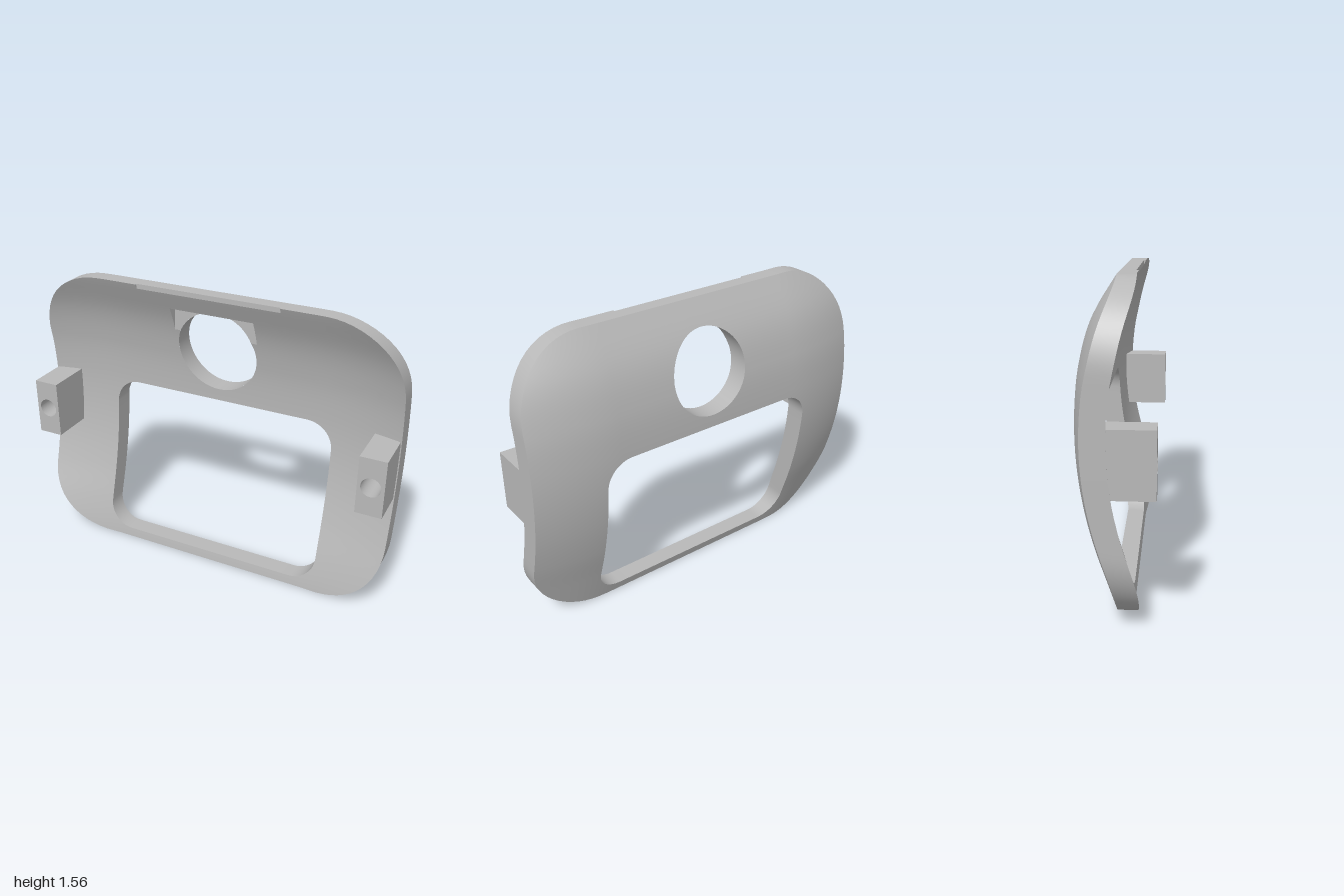
import * as THREE from 'three';
import { toCreasedNormals } from 'three/addons/utils/BufferGeometryUtils.js';

const H = 1.56, W = 1, CORNER = 0.38;
const NOTCH = { x: 0.39, y: 1.535 };
const POCKET = { x: 0.23, y0: 1.31, y1: 1.44 };
const HOLE = { y: 1.215, r: 0.22 };

// Bowed centre line of the back surface, evenly spaced in y, one step past each end
const STEP = H / 8;
const bow = new THREE.SplineCurve(
  [0.065, 0, -0.062, -0.122, -0.165, -0.188, -0.19, -0.17, -0.115, 0, 0.14]
    .map((z, i) => new THREE.Vector2((i - 1) * STEP, z)));

// The back curls forward towards both sides
function backZ(x, y) {
  const curl = Math.max(0, (Math.abs(x) - 0.55) / 0.45) ** 2;
  return bow.getPoint((y / STEP + 1) / 10).y + curl * (0.06 + 0.05 * (y - 0.88) ** 2);
}
const frontZ = (x, y) => backZ(x, y) + 0.088 + 0.024 * (1 - (2 * y / H - 1) ** 6);
const notchZ = frontZ(0, NOTCH.y), pocketZ = frontZ(0, POCKET.y0);

// Splits long segments of a path into short ones
function resample(points, closed = true) {
  const out = [];
  const count = closed ? points.length : points.length - 1;
  for (let i = 0; i < count; i++) {
    const a = points[i], b = points[(i + 1) % points.length];
    const n = Math.ceil(a.distanceTo(b) / 0.05);
    for (let k = 0; k < n; k++) out.push(a.clone().lerp(b, k / n));
  }
  if (!closed) out.push(points[points.length - 1].clone());
  return out;
}

const vec = list => list.map(([x, y]) => new THREE.Vector2(x, y));

function arc(cx, cy, r, from, to, n) {
  return Array.from({ length: n + 1 }, (_, i) => {
    const t = from + (to - from) * i / n;
    return new THREE.Vector2(cx + r * Math.cos(t), cy + r * Math.sin(t));
  });
}

// Counter-clockwise rounded rectangle, with optional extra points along the top
function roundedRect(w, y0, y1, r, top = []) {
  const q = Math.PI / 2;
  return [
    ...arc(w - r, y0 + r, r, -q, 0, 14), ...arc(w - r, y1 - r, r, 0, q, 14),
    ...vec(top),
    ...arc(r - w, y1 - r, r, q, 2 * q, 14), ...arc(r - w, y0 + r, r, 2 * q, 3 * q, 14),
  ];
}

// Fills an outline with small triangles draped over a height function
function sheet(outline, holes, height, facing) {
  const all = [outline, ...holes].flat();
  const pos = [], nor = [], e = 0.002;
  const emit = p => {
    pos.push(p.x, p.y, height(p.x, p.y));
    const n = new THREE.Vector3(
      (height(p.x - e, p.y) - height(p.x + e, p.y)) / (2 * e),
      (height(p.x, p.y - e) - height(p.x, p.y + e)) / (2 * e), 1);
    n.normalize().multiplyScalar(facing);
    nor.push(n.x, n.y, n.z);
  };
  const split = (a, b, c) => {
    const ab = a.distanceTo(b), bc = b.distanceTo(c), ca = c.distanceTo(a);
    const longest = Math.max(ab, bc, ca);
    if (longest < 0.07) {
      (facing > 0 ? [a, b, c] : [a, c, b]).forEach(emit);
    } else if (longest === ab) {
      const m = a.clone().lerp(b, 0.5);
      split(a, m, c); split(m, b, c);
    } else if (longest === bc) split(b, c, a);
    else split(c, a, b);
  };
  for (const [i, j, k] of THREE.ShapeUtils.triangulateShape(outline, holes)) {
    const [a, b, c] = [all[i], all[j], all[k]];
    const area = (b.x - a.x) * (c.y - a.y) - (b.y - a.y) * (c.x - a.x);
    if (area > 0) split(a, b, c); else split(a, c, b);
  }
  const g = new THREE.BufferGeometry();
  g.setAttribute('position', new THREE.Float32BufferAttribute(pos, 3));
  g.setAttribute('normal', new THREE.Float32BufferAttribute(nor, 3));
  return g;
}

// Upright wall along a path between two heights, facing right of travel
function wall(path, low, high, closed = true) {
  const pos = [];
  const count = closed ? path.length : path.length - 1;
  for (let i = 0; i < count; i++) {
    const a = path[i], b = path[(i + 1) % path.length];
    if (a.distanceTo(b) < 1e-6) continue;
    const a0 = [a.x, a.y, low(a.x, a.y)], a1 = [a.x, a.y, high(a.x, a.y)];
    const b0 = [b.x, b.y, low(b.x, b.y)], b1 = [b.x, b.y, high(b.x, b.y)];
    pos.push(...a0, ...b0, ...b1, ...a0, ...b1, ...a1);
  }
  const g = new THREE.BufferGeometry();
  g.setAttribute('position', new THREE.Float32BufferAttribute(pos, 3));
  g.computeVertexNormals();
  return toCreasedNormals(g, 0.6);
}

export function createModel() {
  const model = new THREE.Group();
  model.name = 'curvedFrame';
  const grey = new THREE.MeshStandardMaterial({ color: 0xb8b8b8 });
  grey.name = 'plainGrey';
  const add = (name, geometry) => {
    const mesh = new THREE.Mesh(geometry, grey);
    mesh.name = name;
    model.add(mesh);
    return mesh;
  };
  const flat = z => () => z;
  const reversed = loop => [...loop].reverse();

  // Outlines
  const n = NOTCH.x, p = POCKET.x, m = n + 0.0005;
  const outline = resample(roundedRect(W, 0, H, CORNER, [[m, H], [n, H], [-n, H], [-m, H]]));
  const frontOutline = resample(roundedRect(W, 0, H, CORNER,
    [[n, H], [n, NOTCH.y], [-n, NOTCH.y], [-n, H]]));
  const window = reversed(resample(roundedRect(0.635, 0.05, 0.93, 0.14)));
  const circle = reversed(arc(0, HOLE.y, HOLE.r, 0, Math.PI * 2, 64).slice(0, 64));
  const t = Math.asin((POCKET.y0 - HOLE.y) / HOLE.r);
  const pocketRim = vec([[p, POCKET.y0], [p, POCKET.y1], [-p, POCKET.y1], [-p, POCKET.y0]]);
  const keyhole = reversed([
    ...arc(0, HOLE.y, HOLE.r, Math.PI - t, Math.PI * 2 + t, 40),
    ...resample(pocketRim, false),
  ]);

  // Plate faces
  add('backFace', sheet(outline, [window, circle], backZ, -1));
  add('frontFace', sheet(frontOutline, [window, keyhole], frontZ, 1));

  // Plate edges
  const rimZ = (x, y) =>
    Math.abs(x) < n + 0.0002 && y > 1.5 ? Math.min(notchZ, frontZ(x, y)) : frontZ(x, y);
  add('outerEdge', wall(outline, backZ, rimZ));
  add('windowEdge', wall(window, backZ, frontZ));
  add('roundHoleEdge', wall(circle, backZ, (x, y) => Math.min(pocketZ, frontZ(x, y))));

  // Shallow flat pocket around the top of the round hole
  add('pocketFloor', sheet(
    [...pocketRim, ...arc(0, HOLE.y, HOLE.r, Math.PI - t, t, 28)], [], flat(pocketZ), 1));
  add('pocketSides', wall(resample(reversed(pocketRim), false), flat(pocketZ), frontZ, false));

  // Flat notch along the top edge
  add('notchFloor', sheet(vec([[-n, NOTCH.y], [n, NOTCH.y], [n, H], [-n, H]]), [], flat(notchZ), 1));
  for (const path of [[[-n, NOTCH.y], [-n, H]], [[n, H], [n, NOTCH.y]]])
    add('notchSide', wall(vec(path), flat(notchZ), frontZ, false));

  // Mounting blocks with a screw hole
  const block = new THREE.Shape(vec([[-0.068, -0.155], [0.068, -0.155], [0.068, 0.155], [-0.068, 0.155]]));
  block.holes.push(new THREE.Path().absarc(0, 0, 0.051, 0, Math.PI * 2, true));
  const blockGeometry = new THREE.ExtrudeGeometry(block, { depth: 0.255, bevelEnabled: false, curveSegments: 32 });
  for (const side of [-1, 1]) {
    add(side > 0 ? 'leftMountingBlock' : 'rightMountingBlock', blockGeometry)
      .position.set(side * 0.926, 0.797, -0.06);
  }
  return model;
}
